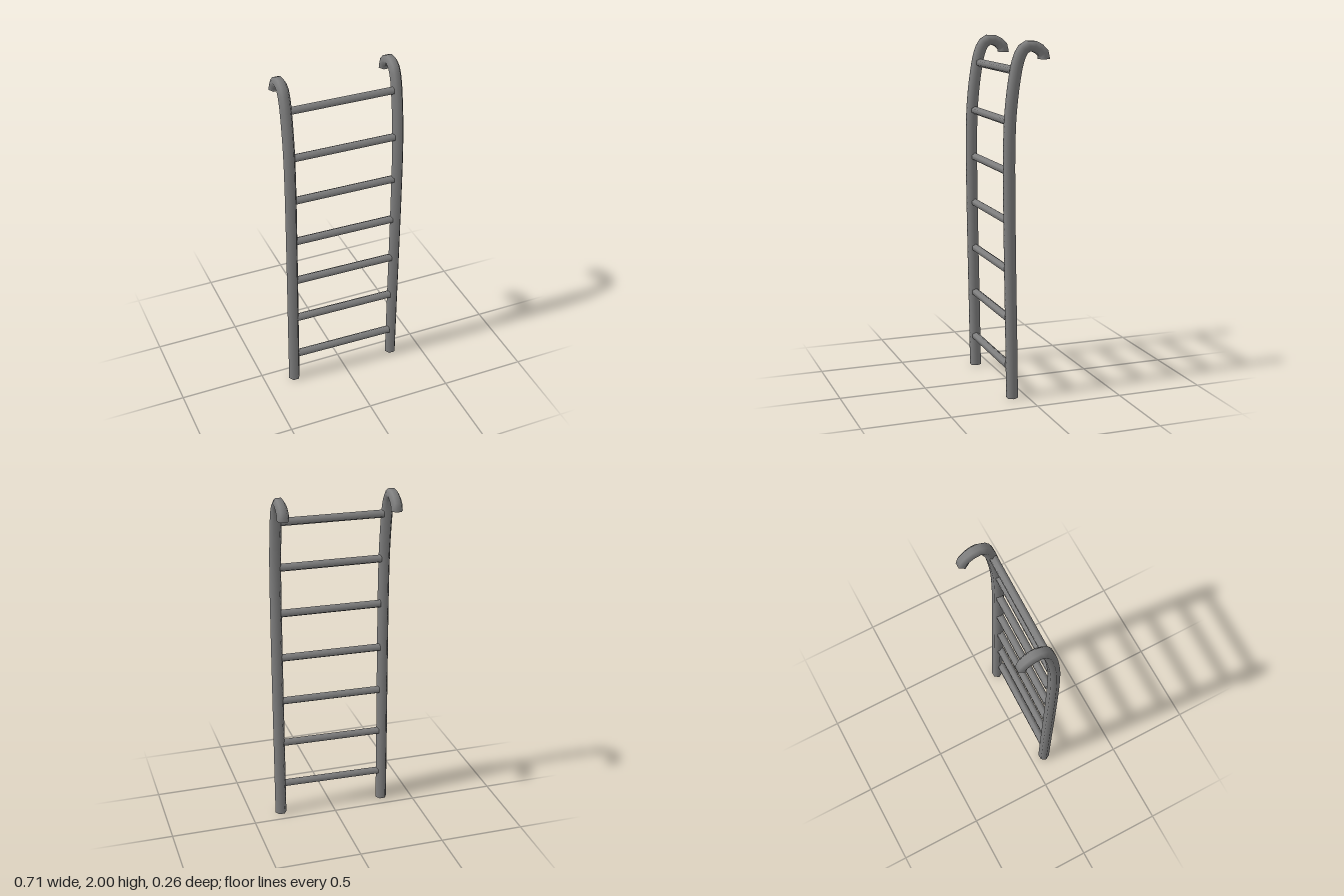
import * as THREE from 'three';

const SIDES = 6;
const RAIL_X = 0.3205, RAIL_R = 0.034;
const RUNG_R = 0.0235, RUNG_HALF = 0.297;

export function createModel() {
  const model = new THREE.Group();
  model.name = 'ladder';
  // Dark grey tubing with open ends
  const mat = new THREE.MeshStandardMaterial({ color: 0x808080, side: THREE.DoubleSide });

  // Rail centre line as (z, y): gentle bow, then a hook over the back
  const path = new THREE.CatmullRomCurve3([
    [0.084, 0], [0.09, 0.4], [0.097, 0.8], [0.102, 1.2], [0.102, 1.4],
    [0.095, 1.6], [0.071, 1.8], [0.049, 1.9], [0.023, 1.952], [-0.013, 1.971],
    [-0.052, 1.962], [-0.085, 1.938], [-0.098, 1.916], [-0.098, 1.898],
  ].map(([z, y]) => new THREE.Vector3(0, y, z)));
  const railGeo = new THREE.TubeGeometry(path, 64, RAIL_R, SIDES, false);

  for (const side of [1, -1]) {
    const rail = new THREE.Mesh(railGeo, mat);
    rail.name = side > 0 ? 'leftRail' : 'rightRail';
    rail.position.x = side * RAIL_X;
    model.add(rail);
  }

  // Evenly spaced rungs, very slightly skewed between the rails
  const rungGeo = new THREE.CylinderGeometry(RUNG_R, RUNG_R, RUNG_HALF * 2, SIDES, 1, true)
    .rotateY(Math.PI / 2).rotateZ(Math.PI / 2);
  for (let i = 0; i < 7; i++) {
    const rung = new THREE.Mesh(rungGeo, mat);
    rung.name = 'rung' + (i + 1);
    rung.position.set(0, 0.186 + i * 0.2755, i === 6 ? 0.063 : 0.0945);
    rung.rotation.set(0, -0.02, 0.003);
    model.add(rung);
  }
  return model;
}
